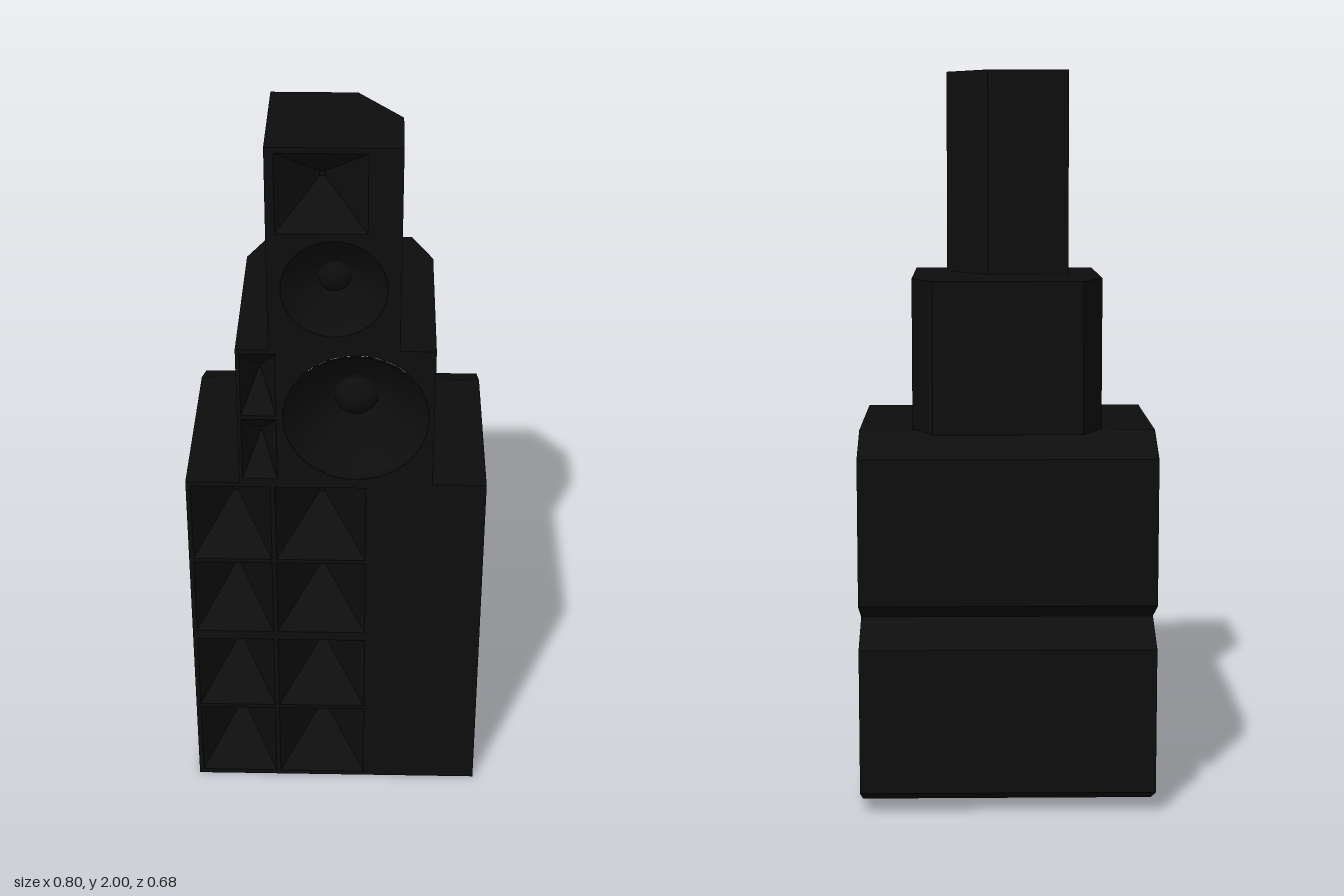
import * as THREE from 'three';

const FRONT = 0.338;

export function createModel() {
  const black = new THREE.MeshStandardMaterial({ color: 0x0d0d0d });
  black.name = 'matte black';
  const root = new THREE.Group();
  root.name = 'speakerStack';

  function add(parent, name, geometry) {
    const mesh = new THREE.Mesh(geometry, black);
    mesh.name = name;
    parent.add(mesh);
    return mesh;
  }

  function fromTriangles(list) {
    const g = new THREE.BufferGeometry();
    g.setAttribute('position', new THREE.Float32BufferAttribute(list.flat(), 3));
    g.computeVertexNormals();
    return g;
  }

  // Prism along z from a counter-clockwise outline; the closing edge (the front) stays open
  function openPrism(outline, z0, z1) {
    const tris = [];
    const at = (i, z) => [outline[i][0], outline[i][1], z];
    for (let i = 0; i < outline.length - 1; i++) {
      tris.push(at(i, z0), at(i + 1, z0), at(i + 1, z1));
      tris.push(at(i, z0), at(i + 1, z1), at(i, z1));
    }
    const pts = outline.map(([x, y]) => new THREE.Vector2(x, y));
    for (const [a, b, c] of THREE.ShapeUtils.triangulateShape(pts, [])) {
      tris.push(at(a, z1), at(b, z1), at(c, z1));
      tris.push(at(c, z0), at(b, z0), at(a, z0));
    }
    return fromTriangles(tris);
  }

  // Rectangular horn narrowing to a small throat
  function horn({ x0, x1, y0, y1, depth }) {
    const cx = (x0 + x1) / 2, cy = (y0 + y1) / 2;
    const mouth = [[x0, y0, 0], [x1, y0, 0], [x1, y1, 0], [x0, y1, 0]];
    const throat = mouth.map(([x, y]) => [cx + (x - cx) * 0.06, cy + (y - cy) * 0.06, -depth]);
    const tris = [];
    for (let i = 0; i < 4; i++) {
      const j = (i + 1) % 4;
      tris.push(mouth[i], mouth[j], throat[j], mouth[i], throat[j], throat[i]);
    }
    tris.push(throat[0], throat[1], throat[2], throat[0], throat[2], throat[3]);
    return fromTriangles(tris);
  }

  // Round driver: sloping cone with a domed dust cap
  function driver(r, depth) {
    const profile = [[r, 0], [r * 0.94, -0.008], [r * 0.85, -depth * 0.3], [r * 0.32, -depth],
      [r * 0.29, -depth * 0.86], [r * 0.2, -depth * 0.72], [r * 0.1, -depth * 0.65], [0, -depth * 0.62]];
    return new THREE.LatheGeometry(profile.map(([x, y]) => new THREE.Vector2(x, y)), 32)
      .rotateX(Math.PI / 2);
  }

  // Front baffle with its recessed horns and drivers
  function addFront(cabinet, [x0, x1, y0, y1], horns, drivers) {
    const shape = new THREE.Shape([[x0, y0], [x1, y0], [x1, y1], [x0, y1]]
      .map(([x, y]) => new THREE.Vector2(x, y)));
    for (const h of horns) {
      shape.holes.push(new THREE.Path([[h.x0, h.y0], [h.x0, h.y1], [h.x1, h.y1], [h.x1, h.y0]]
        .map(([x, y]) => new THREE.Vector2(x, y))));
      add(cabinet, 'horn', horn(h)).position.z = FRONT;
    }
    for (const d of drivers) {
      shape.holes.push(new THREE.Path().absarc(d.x, d.y, d.r, 0, Math.PI * 2, true));
      add(cabinet, 'driver', driver(d.r, d.depth)).position.set(d.x, d.y, FRONT);
    }
    add(cabinet, 'frontBaffle', new THREE.ShapeGeometry(shape, 32)).position.z = FRONT;
  }

  function cabinetGroup(name) {
    const g = new THREE.Group();
    g.name = name;
    root.add(g);
    return g;
  }

  // Two stacked bass cabinets with bevelled backs and four horn cells each
  const H = 0.516;
  for (let k = 0; k < 2; k++) {
    const bass = cabinetGroup(k ? 'upperBassCabinet' : 'lowerBassCabinet');
    const outline = [[FRONT, H], [-0.2, H], [-FRONT, H - 0.06], [-FRONT, 0.06], [-0.2, 0], [FRONT, 0]];
    add(bass, 'cabinetShell', openPrism(outline, -0.4, 0.4).rotateY(-Math.PI / 2));
    const horns = [];
    for (const [x0, x1] of [[-0.388, -0.174], [-0.162, 0.08]]) {
      for (const y0 of [0.014, 0.264]) {
        horns.push({ x0, x1, y0, y1: y0 + 0.238, depth: 0.17 });
      }
    }
    addFront(bass, [-0.4, 0.4, 0, H], horns, []);
    bass.position.y = k * H;
  }

  // Middle cabinet: tapered back, two small horns beside a large driver
  const mid = cabinetGroup('midCabinet');
  add(mid, 'cabinetShell', openPrism([[0.257, -FRONT], [0.257, 0.17], [0.2, 0.3], [-0.2, 0.3],
    [-0.257, 0.17], [-0.257, -FRONT]], 1.032, 1.44).rotateX(-Math.PI / 2));
  addFront(mid, [-0.257, 0.257, 1.032, 1.44],
    [1.045, 1.242].map((y0) => ({ x0: -0.247, x1: -0.155, y0, y1: y0 + 0.185, depth: 0.1 })),
    [{ x: 0.053, y: 1.236, r: 0.19, depth: 0.13 }]);

  // Top cabinet: one back corner cut off, horn above a driver
  const top = cabinetGroup('topCabinet');
  add(top, 'cabinetShell', openPrism([[0.165, -FRONT], [0.165, -0.155], [0.05, 0], [-0.173, 0],
    [-0.173, -FRONT]], 1.44, 2).rotateX(-Math.PI / 2));
  addFront(top, [-0.173, 0.165, 1.44, 2],
    [{ x0: -0.15, x1: 0.08, y0: 1.77, y1: 1.985, depth: 0.12 }],
    [{ x: -0.004, y: 1.615, r: 0.135, depth: 0.08 }]);

  return root;
}
